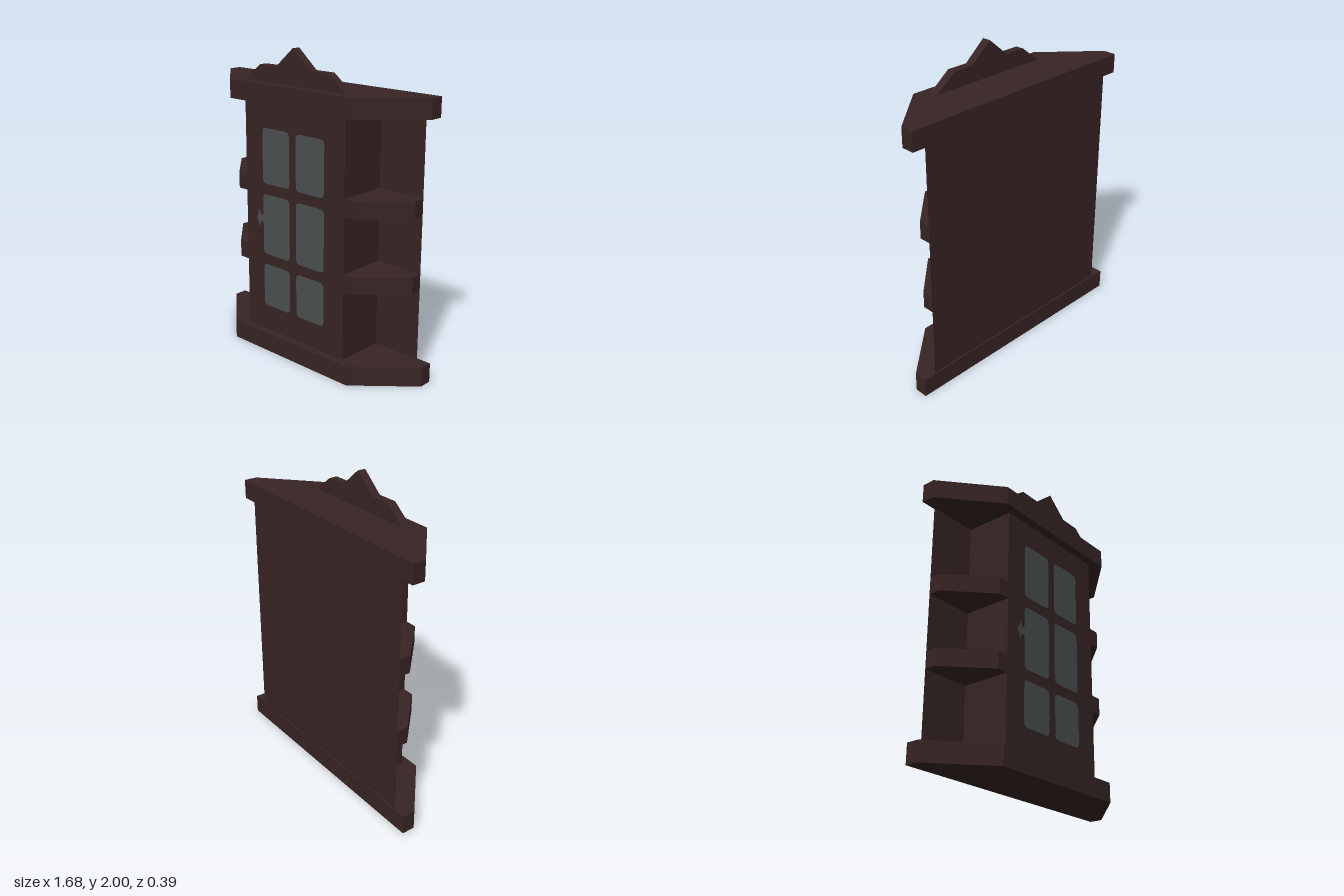
import * as THREE from 'three';

export function createModel() {
  const group = new THREE.Group();
  group.name = 'cornerCabinet';
  const wood = new THREE.MeshStandardMaterial({ color: 0x382424 });
  wood.name = 'darkWood';
  const glass = new THREE.MeshStandardMaterial({ color: 0x4a4f4f });
  glass.name = 'greyGlass';
  const panelWood = new THREE.MeshStandardMaterial({ color: 0x382424, side: THREE.DoubleSide });
  panelWood.name = 'darkWoodPanel';

  const BACK = -0.185, FRONT = 0.14;

  function add(name, geometry, material) {
    const mesh = new THREE.Mesh(geometry, material);
    mesh.name = name;
    group.add(mesh);
    return mesh;
  }
  const toShape = (pts) => new THREE.Shape(pts.map(([x, y]) => new THREE.Vector2(x, y)));

  // Horizontal board: outline given as [x, z], raised from y0 to y1
  function board(name, outline, y0, y1) {
    const geo = new THREE.ExtrudeGeometry(toShape(outline.map(([x, z]) => [x, -z])), { depth: y1 - y0, bevelEnabled: false });
    geo.rotateX(-Math.PI / 2);
    geo.translate(0, y0, 0);
    add(name, geo, wood);
  }

  // Base and cornice with cut front corners
  const slab = [[-0.84, -0.195], [0.84, -0.195], [0.84, -0.11], [0.5, 0.195], [-0.5, 0.195], [-0.84, -0.11]];
  board('base', slab, 0, 0.125);
  board('cornice', slab, 1.653, 1.775);

  // Central cupboard and the thin back panel
  const cupboard = add('cupboard', new THREE.BoxGeometry(0.84, 1.53, FRONT - BACK), wood);
  cupboard.position.set(0, 0.89, (FRONT + BACK) / 2);
  const panel = add('backPanel', new THREE.PlaneGeometry(1.496, 1.53), panelWood);
  panel.position.set(0, 0.89, BACK);

  // Open side shelves
  for (const s of [1, -1]) {
    const outline = [[0.42, BACK], [0.748, BACK], [0.748, -0.11], [0.494, FRONT], [0.42, FRONT]].map(([x, z]) => [s * x, z]);
    for (const [y0, y1] of [[0.578, 0.689], [1.054, 1.164]]) {
      board(s > 0 ? 'leftShelf' : 'rightShelf', outline, y0, y1);
    }
  }

  // Stepped pediment
  const crest = toShape([[-0.42, 1.775], [0.42, 1.775], [0.283, 1.88], [0.142, 1.88], [0, 2], [-0.142, 1.88], [-0.283, 1.88]]);
  const crestGeo = new THREE.ExtrudeGeometry(crest, { depth: 0.055, bevelEnabled: false });
  crestGeo.translate(0, 0, 0.083);
  add('pediment', crestGeo, wood);

  // Rounded window pane outline
  function paneShape(x0, x1, y0, y1, r) {
    const p = new THREE.Shape();
    p.moveTo(x0 + r, y0);
    p.lineTo(x1 - r, y0);
    p.quadraticCurveTo(x1, y0, x1, y0 + r);
    p.lineTo(x1, y1 - r);
    p.quadraticCurveTo(x1, y1, x1 - r, y1);
    p.lineTo(x0 + r, y1);
    p.quadraticCurveTo(x0, y1, x0, y1 - r);
    p.lineTo(x0, y0 + r);
    p.quadraticCurveTo(x0, y0, x0 + r, y0);
    return p;
  }
  for (const [x0, x1] of [[-0.268, -0.032], [0.024, 0.26]]) {
    for (const [y0, y1] of [[0.295, 0.585], [0.654, 1.06], [1.13, 1.49]]) {
      add('windowPane', new THREE.ShapeGeometry(paneShape(x0, x1, y0, y1, 0.035), 5), glass).position.z = FRONT + 0.002;
    }
  }

  // Door handle: pointed plate with a short lever
  const handle = toShape([[-0.307, 0.828], [-0.29, 0.868], [-0.268, 0.868], [-0.268, 0.916], [-0.29, 0.912],
    [-0.307, 0.954], [-0.316, 0.915], [-0.332, 0.89], [-0.316, 0.865]]);
  add('doorHandle', new THREE.ShapeGeometry(handle), glass).position.z = FRONT + 0.002;

  return group;
}
